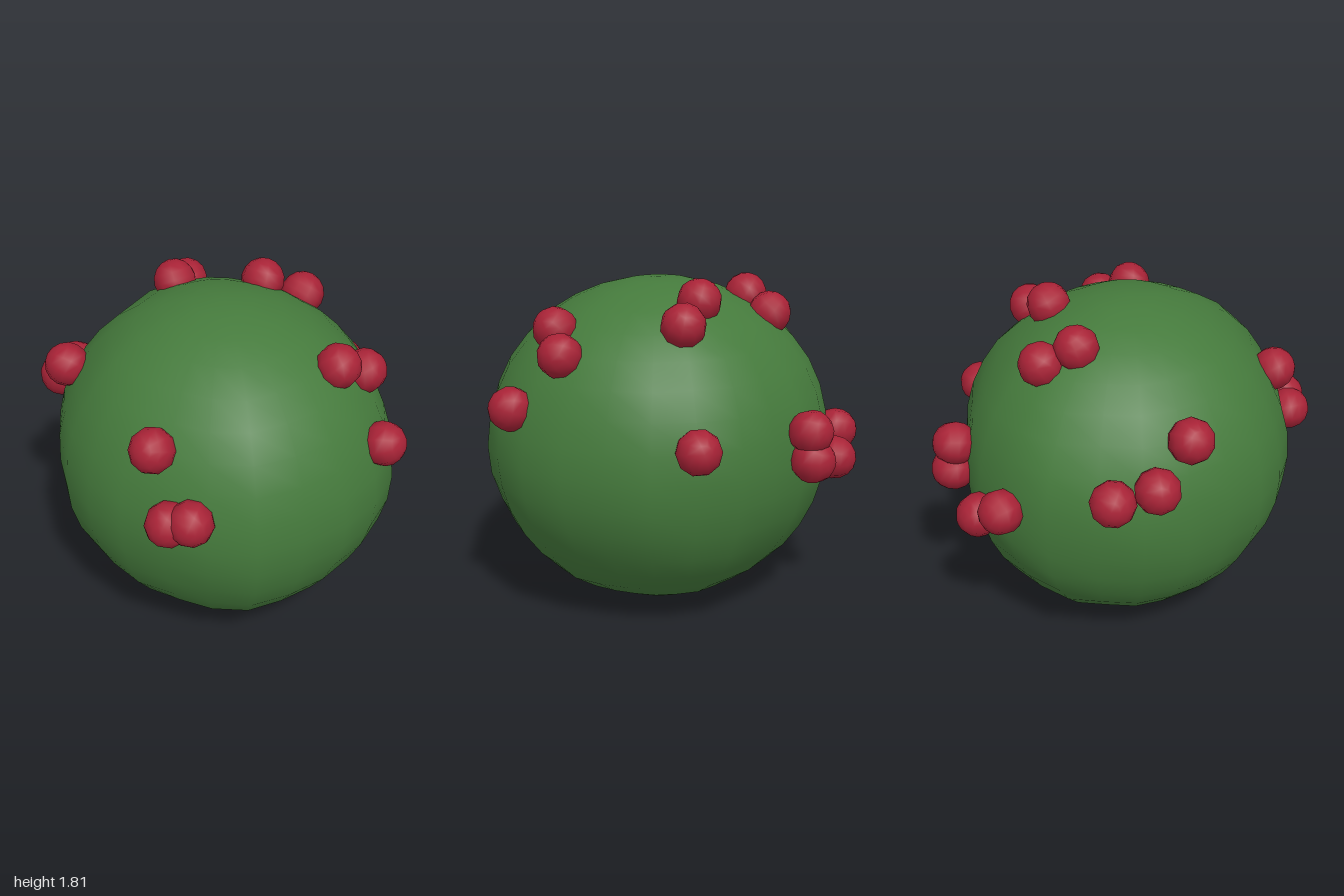
import * as THREE from 'three';
import { mergeVertices } from 'three/addons/utils/BufferGeometryUtils.js';

const CENTRE = new THREE.Vector3(0.04, 0.888, 0.06);

// Horizontal radius of the foliage every 15 degrees, from +x towards +z
const RADII = [
  0.94, 0.935, 0.955, 0.925, 0.885, 0.89, 0.89, 0.9, 0.885, 0.9, 0.92, 0.905,
  0.95, 0.935, 0.93, 0.9, 0.875, 0.9, 0.89, 0.905, 0.895, 0.91, 0.945, 0.945,
];

// Centres of the berries
const BERRIES = [
  [0.045, 1.06, -0.845], [0.04, 1.61, -0.5], [-0.085, 1.7, -0.325],
  [-0.515, 1.59, -0.15], [-0.425, 1.67, 0], [0.635, 1.56, -0.185],
  [0.64, 1.46, -0.37], [0.885, 1.18, -0.285], [0.365, 1.35, 0.775],
  [0.535, 1.03, 0.825], [0.63, 1.06, 0.76], [-0.525, 1.36, 0.655],
  [-0.725, 1.17, 0.57], [-0.845, 1.12, 0.39], [-0.895, 0.935, -0.2],
  [-0.83, 0.83, -0.37], [-0.597, 1.06, -0.635], [-0.61, 0.91, -0.645],
];

function radiusAt(angle) {
  const t = ((angle / (Math.PI * 2)) * 24 + 24) % 24;
  const i = Math.floor(t);
  return THREE.MathUtils.lerp(RADII[i % 24], RADII[(i + 1) % 24], t - i);
}

// Gentle lumps that vary smoothly over the surface
function lump(x, y, z) {
  return 0.5 * Math.sin(7 * x + 4 * y + 1) * Math.cos(6 * z - 3 * y)
    + 0.5 * Math.sin(9 * y + 5 * z + 2) * Math.cos(8 * x - 2);
}

// Rounded foliage: a sphere pushed in and out
function makeFoliage() {
  let geometry = new THREE.SphereGeometry(1, 24, 18);
  geometry.deleteAttribute('uv');
  geometry.deleteAttribute('normal');
  geometry = mergeVertices(geometry, 1e-4);
  const p = geometry.attributes.position;
  for (let i = 0; i < p.count; i++) {
    const x = p.getX(i), y = p.getY(i), z = p.getZ(i);
    const ring = Math.hypot(x, z);
    const r = radiusAt(Math.atan2(z, x)) * (1 + 0.022 * ring * lump(x, y, z) * (0.3 + Math.abs(y)));
    p.setXYZ(i, x * r, y * 0.886, z * r);
  }
  geometry.computeVertexNormals();
  const mesh = new THREE.Mesh(geometry, new THREE.MeshStandardMaterial({ color: 0x457a3c }));
  mesh.name = 'foliage';
  mesh.position.copy(CENTRE);
  return mesh;
}

// Small round berries, each turned to point away from the bush
function makeBerries() {
  const group = new THREE.Group();
  group.name = 'berries';
  const geometry = new THREE.SphereGeometry(0.117, 10, 8);
  const material = new THREE.MeshStandardMaterial({ color: 0xa82236 });
  const up = new THREE.Vector3(0, 1, 0);
  BERRIES.forEach((at, i) => {
    const berry = new THREE.Mesh(geometry, material);
    berry.name = `berry${i + 1}`;
    berry.position.set(...at);
    berry.quaternion.setFromUnitVectors(up, berry.position.clone().sub(CENTRE).normalize());
    group.add(berry);
  });
  return group;
}

export function createModel() {
  const model = new THREE.Group();
  model.name = 'berryBush';
  model.add(makeFoliage(), makeBerries());
  return model;
}
